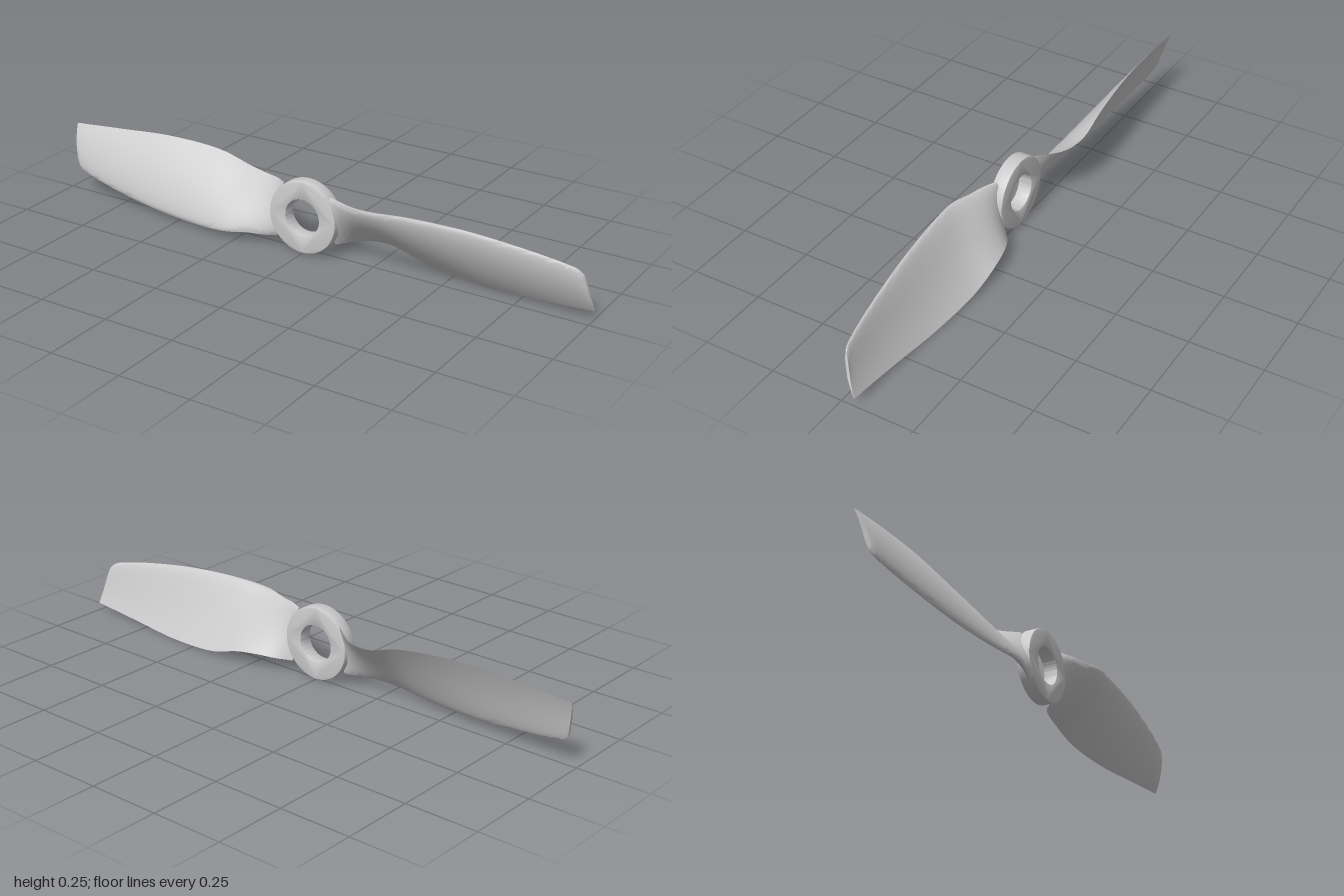
import * as THREE from 'three';
import { toCreasedNormals } from 'three/addons/utils/BufferGeometryUtils.js';

const CENTER_Y = 0.13;
const HALF = 16;      // points along each face of the airfoil
const STATIONS = 72;  // sections along the blade

// Edge lines of one blade: [x, y, z] from root to tip
const LEADING = [
  [0.10, 0.222, 0.024], [0.15, 0.223, 0.045], [0.20, 0.222, 0.060], [0.28, 0.230, 0.077],
  [0.40, 0.238, 0.068], [0.60, 0.234, 0.047], [0.80, 0.211, 0.024], [0.92, 0.189, 0.007],
  [0.955, 0.178, 0.0], [0.972, 0.16, -0.008], [0.976, 0.145, -0.013],
];
const TRAILING = [
  [0.10, 0.042, -0.010], [0.15, 0.050, -0.048], [0.20, 0.056, -0.071], [0.28, 0.050, -0.086],
  [0.40, 0.017, -0.083], [0.60, 0.003, -0.067], [0.80, 0.014, -0.053], [0.92, 0.023, -0.048],
  [0.965, 0.027, -0.047], [0.99, 0.029, -0.047], [1.0, 0.030, -0.047],
];

const edgeCurve = (points) =>
  new THREE.CatmullRomCurve3(points.map(([x, y, z]) => new THREE.Vector3(x, y - CENTER_Y, z)));

// Airfoil height at chord fraction s, on the front (+1) or back (-1) face
function airfoil(s, side, thickness) {
  const half = 5 * thickness *
    (0.2969 * Math.sqrt(s) - 0.126 * s - 0.3516 * s * s + 0.2843 * s ** 3 - 0.1015 * s ** 4);
  const camber = 0.045 * 4 * s * (1 - s);
  return camber + side * half;
}

function bladeGeometry() {
  const lead = edgeCurve(LEADING), trail = edgeCurve(TRAILING);
  const span = new THREE.Vector3(1, 0, 0);
  const positions = [], index = [];
  const ring = 2 * HALF + 1;

  // Twisted sections: trailing edge, over the front to the leading edge, back again
  for (let i = 0; i <= STATIONS; i++) {
    const u = i / STATIONS;
    const a = lead.getPoint(u);
    const chord = trail.getPoint(u).sub(a);
    const normal = chord.clone().cross(span).normalize();
    const thickness = THREE.MathUtils.lerp(0.13, 0.09, u);
    for (let j = 0; j < ring; j++) {
      const s = (1 + Math.cos((Math.PI * j) / HALF)) / 2;
      const h = airfoil(s, j <= HALF ? 1 : -1, thickness) * chord.length();
      const p = a.clone().addScaledVector(chord, s).addScaledVector(normal, h);
      positions.push(p.x, p.y, p.z);
    }
  }
  for (let i = 0; i < STATIONS; i++) {
    for (let j = 0; j < ring - 1; j++) {
      const a = i * ring + j, b = a + ring;
      index.push(a, b, b + 1, a, b + 1, a + 1);
    }
  }
  // Root and tip caps join the front face to the back face
  for (const [base, tip] of [[0, false], [STATIONS * ring, true]]) {
    for (let j = 0; j < HALF; j++) {
      const a = base + j, b = a + 1, d = base + ring - 1 - j, c = d - 1;
      if (tip) index.push(a, c, b, a, d, c);
      else index.push(a, b, c, a, c, d);
    }
  }
  const geometry = new THREE.BufferGeometry();
  geometry.setAttribute('position', new THREE.Float32BufferAttribute(positions, 3));
  geometry.setIndex(index);
  return toCreasedNormals(geometry, 0.7);
}

function hubGeometry() {
  const bevel = 0.003, depth = 0.049;
  const shape = new THREE.Shape().absarc(0, 0, 0.125 - bevel, 0, Math.PI * 2, false);
  shape.holes.push(new THREE.Path().absarc(0, 0, 0.064 + bevel, 0, Math.PI * 2, true));
  const geometry = new THREE.ExtrudeGeometry(shape, {
    depth: depth - 2 * bevel, curveSegments: 64,
    bevelEnabled: true, bevelSize: bevel, bevelThickness: bevel, bevelSegments: 2,
  });
  geometry.translate(0, 0, -0.012 + bevel);
  return toCreasedNormals(geometry, 0.5);
}

export function createModel() {
  const material = new THREE.MeshStandardMaterial({ color: 0xcccccc });
  const propeller = new THREE.Group();
  propeller.name = 'propeller';
  propeller.position.y = CENTER_Y;

  const hub = new THREE.Mesh(hubGeometry(), material);
  hub.name = 'hub';
  propeller.add(hub);

  // Two blades, half a turn apart around the hub axis
  const geometry = bladeGeometry();
  ['leftBlade', 'rightBlade'].forEach((name, i) => {
    const blade = new THREE.Mesh(geometry, material);
    blade.name = name;
    blade.rotation.z = i * Math.PI;
    propeller.add(blade);
  });

  const model = new THREE.Group();
  model.add(propeller);
  return model;
}
